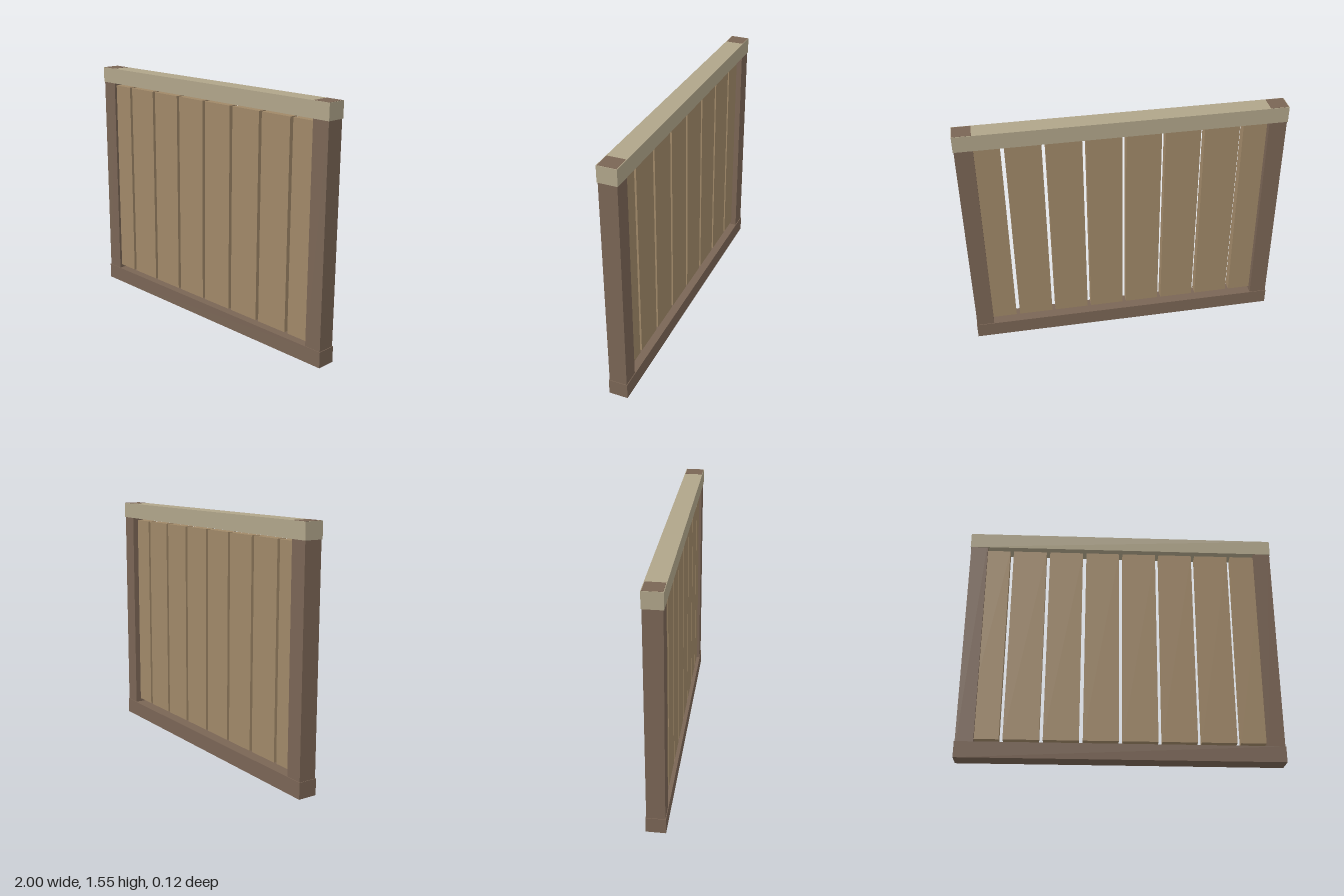
import * as THREE from 'three';

export function createModel() {
  const group = new THREE.Group();
  const material = (name, color) => {
    const m = new THREE.MeshStandardMaterial({ color });
    m.name = name;
    return m;
  };
  const darkWood = material('dark wood', 0x7a6555);
  const paleWood = material('pale wood', 0xb0a58a);
  const plankWood = material('plank wood', 0xa08868);

  // box given by its lower and upper limits on each axis
  const box = (name, mat, [x0, x1], [y0, y1], [z0, z1]) => {
    const mesh = new THREE.Mesh(new THREE.BoxGeometry(x1 - x0, y1 - y0, z1 - z0), mat);
    mesh.position.set((x0 + x1) / 2, (y0 + y1) / 2, (z0 + z1) / 2);
    mesh.name = name;
    group.add(mesh);
  };

  // rails
  box('bottomRail', darkWood, [-1, 1], [0, 0.1], [-0.06, 0.06]);
  box('topRail', paleWood, [-1, 1], [1.45, 1.55], [-0.06, 0.06]);

  // posts, their end grain showing through the top rail
  box('rightPost', darkWood, [-0.996, -0.886], [0.002, 1.551], [-0.056, 0.056]);
  box('leftPost', darkWood, [0.886, 0.996], [0.002, 1.551], [-0.056, 0.056]);

  // evenly spaced planks, the outer two tucked into the posts
  const pitch = 0.241, width = 0.218;
  for (let i = 0; i < 8; i++) {
    const x = -0.847 + i * pitch;
    box('plank' + (i + 1), plankWood, [x - width / 2, x + width / 2], [0.122, 1.434], [-0.02, 0.04]);
  }
  return group;
}
